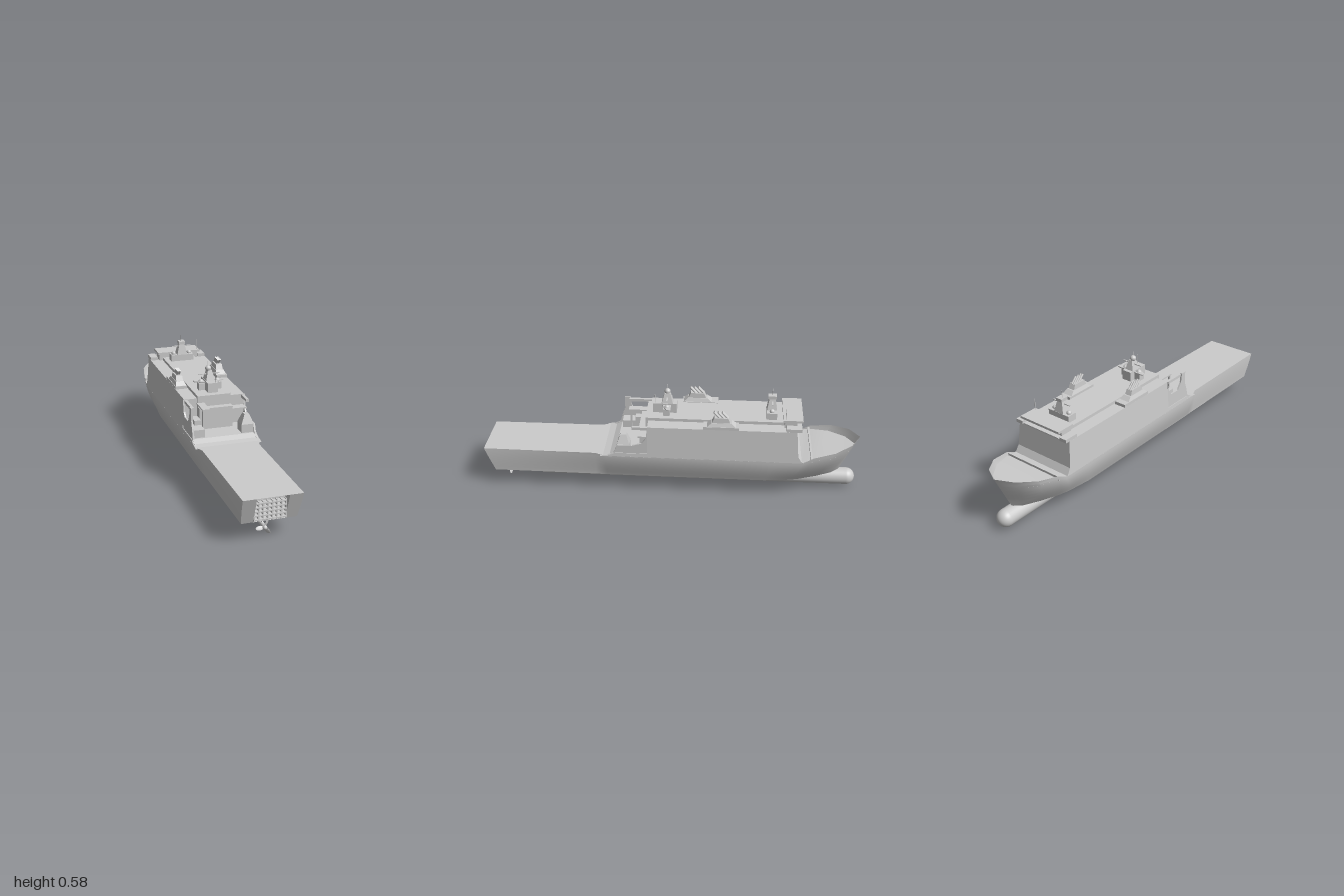
import * as THREE from 'three';
import { toCreasedNormals } from 'three/addons/utils/BufferGeometryUtils.js';

const grey = new THREE.MeshStandardMaterial({ color: 0xcccccc });
const thin = new THREE.MeshStandardMaterial({ color: 0xcccccc, side: THREE.DoubleSide });

function add(parent, name, geo, x = 0, y = 0, z = 0, mat = grey) {
  const m = new THREE.Mesh(geo, mat);
  m.name = name;
  m.position.set(x, y, z);
  parent.add(m);
  return m;
}

// Box given by its limits
function box(parent, name, x0, x1, y0, y1, z0, z1) {
  return add(parent, name, new THREE.BoxGeometry(x1 - x0, y1 - y0, z1 - z0),
    (x0 + x1) / 2, (y0 + y1) / 2, (z0 + z1) / 2);
}

// Box whose top is scaled by sx, sz and shifted by dz
function taper(parent, name, x0, x1, y0, y1, z0, z1, sx, sz, dz = 0) {
  const g = new THREE.BoxGeometry(x1 - x0, y1 - y0, z1 - z0).toNonIndexed();
  const p = g.attributes.position;
  for (let i = 0; i < p.count; i++) {
    if (p.getY(i) > 0) p.setXYZ(i, p.getX(i) * sx, p.getY(i), p.getZ(i) * sz + dz);
  }
  g.computeVertexNormals();
  return add(parent, name, g, (x0 + x1) / 2, (y0 + y1) / 2, (z0 + z1) / 2);
}

// Side profile of [z, y] points, extruded across x
function profile(points, x0, x1) {
  const s = new THREE.Shape(points.map(([z, y]) => new THREE.Vector2(z, y)));
  const g = new THREE.ExtrudeGeometry(s, { depth: x1 - x0, bevelEnabled: false });
  return g.rotateY(-Math.PI / 2).translate(x1, 0, 0);
}

// Surface through rows of equally many points
function skin(rows) {
  const n = rows[0].length, idx = [];
  for (let i = 0; i < rows.length - 1; i++) for (let j = 0; j < n - 1; j++) {
    const a = i * n + j, b = a + n;
    idx.push(a, a + 1, b, b, a + 1, b + 1);
  }
  const g = new THREE.BufferGeometry();
  g.setAttribute('position', new THREE.Float32BufferAttribute(rows.flat(2), 3));
  g.setIndex(idx);
  return toCreasedNormals(g, 0.45);
}

const KEEL = 0.097, DECK = 0.235;
// Stations: z at rim, z at keel, half width at rim, half width at keel, rim height, deck height
const STATIONS = [
  [1, 0.95, 0.145, 0.135, DECK, DECK], [0.4, 0.4, 0.15, 0.138, DECK, DECK],
  [0.34, 0.34, 0.175, 0.14, DECK, DECK], [-0.55, -0.5, 0.175, 0.14, DECK, DECK],
  [-0.7, -0.63, 0.174, 0.125, 0.238, DECK], [-0.75, -0.68, 0.172, 0.113, 0.265, 0.245],
  [-0.86, -0.78, 0.15, 0.075, 0.285, 0.25], [-0.95, -0.86, 0.088, 0.035, 0.299, 0.255],
  [-1, -0.9, 0, 0, 0.305, 0.26],
];
function hullPoint([zt, zb, wt, wb, yt], s, side) {
  const w = wb + (wt - wb) * Math.sin(s * Math.PI / 2);
  return [side * w, KEEL + (yt - KEEL) * s, zb + (zt - zb) * s];
}

function buildHull(root) {
  const hull = new THREE.Group();
  hull.name = 'hull';
  root.add(hull);
  const levels = [0, 0.15, 0.3, 0.45, 0.6, 0.75, 0.88, 1];
  for (const side of [1, -1]) {
    add(hull, 'hullSide', skin(STATIONS.map(st => levels.map(s => hullPoint(st, s, side)))), 0, 0, 0, thin);
    // Transom beside the dock opening
    const edge = levels.map(s => hullPoint(STATIONS[0], s, side));
    add(hull, 'transomSide', skin([edge, edge.map(([, y, z]) => [side * 0.08, y, z])]), 0, 0, 0, thin);
    const jamb = [[0.95, KEEL], [1, DECK], [0.93, DECK], [0.93, KEEL]];
    add(hull, 'dockJamb', profile(jamb, side * 0.08 - 0.002, side * 0.08 + 0.002));
  }
  const across = s => STATIONS.map(st => [hullPoint(st, s(st), -1), hullPoint(st, s(st), 1)]);
  add(hull, 'bottom', skin(across(() => 0)), 0, 0, 0, thin);
  add(hull, 'deck', skin(across(st => (st[5] - KEEL) / (st[4] - KEEL))), 0, 0, 0, thin);
  box(hull, 'breakwater', -0.17, 0.17, 0.235, 0.257, -0.745, -0.735);

  // Stern gate with its grating
  box(hull, 'dockGate', -0.08, 0.08, KEEL, DECK - 0.002, 0.93, 0.94);
  const grating = new THREE.Group();
  grating.name = 'gateGrating';
  hull.add(grating);
  for (let i = 0; i < 8; i++) {
    const x = -0.077 + i * 0.022;
    box(grating, 'gateRib', x - 0.003, x + 0.003, 0.103, 0.2, 0.94, 0.962);
  }
  for (let i = 0; i < 5; i++) {
    const y = 0.112 + i * 0.02;
    box(grating, 'gateBar', -0.079, 0.079, y - 0.003, y + 0.003, 0.94, 0.966);
  }
}

function buildUnderwater(root) {
  const tube = new THREE.CapsuleGeometry(0.046, 1.65, 10, 28).rotateX(Math.PI / 2);
  add(root, 'keelTube', tube, 0, 0.057, -0.12);
  const pod = new THREE.Group();
  pod.name = 'propulsionPod';
  pod.position.set(-0.002, 0.037, 0);
  root.add(pod);
  add(pod, 'podBody', new THREE.CapsuleGeometry(0.011, 0.13, 6, 14).rotateX(Math.PI / 2), 0, 0, 0.84);
  add(pod, 'podStrut', profile([[0.88, 0], [0.8, 0], [0.795, 0.065], [0.84, 0.065]], -0.003, 0.003));
  // Three twisted blades
  for (let i = 0; i < 3; i++) {
    const arm = new THREE.Group();
    arm.rotation.z = i * Math.PI * 2 / 3 - 0.42;
    arm.position.z = 0.9;
    pod.add(arm);
    const blade = add(arm, 'propellerBlade', new THREE.SphereGeometry(1, 14, 8), 0, 0.024, 0);
    blade.scale.set(0.011, 0.02, 0.002);
    blade.rotation.y = 0.6;
  }
}

function buildSuperstructure(root) {
  const s = new THREE.Group();
  s.name = 'superstructure';
  root.add(s);
  // Main block, sides leaning slightly inwards
  const g = profile([[0.37, 0.233], [0.32, 0.24], [0.29, 0.255], [0.12, 0.255], [0.12, 0.41],
    [-0.655, 0.41], [-0.668, 0.27], [-0.69, 0.233]], -1, 1);
  const p = g.attributes.position;
  for (let i = 0; i < p.count; i++) p.setX(i, p.getX(i) * (0.175 - (p.getY(i) - 0.233) * 0.06));
  g.computeVertexNormals();
  add(s, 'mainBlock', g);
  box(s, 'roofHouse', -0.095, 0.09, 0.41, 0.426, -0.6, 0.12);
  box(s, 'aftHouse', -0.095, 0.085, 0.255, 0.368, 0.12, 0.17);
  box(s, 'aftHouseUpper', -0.095, 0.085, 0.368, 0.426, 0.12, 0.135);
  box(s, 'aftPlatform', -0.1, -0.06, 0.382, 0.389, 0.13, 0.24);
  box(s, 'platformPost', -0.098, -0.09, 0.255, 0.384, 0.225, 0.235);

  // Starboard boat bay and its tall outer wall
  const curve = [[0.34, 0.235], [0.3, 0.255], [0.285, 0.31], [0.272, 0.345], [0.272, 0.412],
    [0.242, 0.412], [0.235, 0.36], [0.21, 0.325], [0.15, 0.325], [0.13, 0.345], [0.119, 0.41], [0.119, 0.235]];
  add(s, 'rightBayWall', profile(curve, -0.17, -0.161));
  box(s, 'rightBayLocker', -0.16, -0.1, 0.255, 0.297, 0.13, 0.28);
  box(s, 'rightBayCabin', -0.135, -0.1, 0.297, 0.322, 0.14, 0.21);
  box(s, 'rightBeam', -0.163, -0.147, 0.392, 0.407, 0.12, 0.245);

  // Port boat bay with a vent trunk
  const low = [[0.34, 0.235], [0.3, 0.25], [0.28, 0.3], [0.2, 0.3], [0.15, 0.315], [0.128, 0.345],
    [0.119, 0.41], [0.119, 0.235]];
  add(s, 'leftBayWall', profile(low, 0.161, 0.17));
  box(s, 'ventTrunk', 0.097, 0.163, 0.255, 0.3, 0.215, 0.28);
  taper(s, 'ventHood', 0.097, 0.163, 0.3, 0.35, 0.215, 0.28, 0.4, 0.5);
  box(s, 'leftBayFloor', 0.085, 0.163, 0.345, 0.353, 0.12, 0.17);
  box(s, 'leftBeam', 0.148, 0.163, 0.392, 0.407, 0.12, 0.2);

  // Raised lockers along the roof edges
  box(s, 'rightRoofLocker', -0.164, -0.1, 0.41, 0.426, -0.24, -0.05);
  box(s, 'leftRoofLocker', 0.105, 0.166, 0.41, 0.426, -0.355, -0.17);

  // Bridge with overhanging roof
  box(s, 'bridge', -0.115, 0.115, 0.41, 0.445, -0.655, -0.59);
  box(s, 'bridgeRoof', -0.123, 0.127, 0.446, 0.458, -0.685, -0.582);
  box(s, 'bridgeBrow', -0.115, 0.115, 0.415, 0.421, -0.68, -0.65);
  for (const side of [1, -1]) box(s, 'bridgeWing', side * 0.143 - 0.021, side * 0.143 + 0.021, 0.41, 0.428, -0.68, -0.6);
  add(s, 'bridgeAerial', new THREE.CylinderGeometry(0.0018, 0.0018, 0.09, 8), 0.115, 0.475, -0.595);
}

// Stepped mount with a cluster of launch tubes
function buildMount(root, x, z) {
  const m = new THREE.Group();
  m.name = 'launcherMount';
  m.position.set(x, 0, z);
  root.add(m);
  taper(m, 'mountBase', -0.029, 0.029, 0.426, 0.445, -0.08, 0.07, 0.75, 0.7);
  taper(m, 'mountTop', -0.019, 0.019, 0.445, 0.472, -0.05, 0.045, 0.9, 0.75);
  for (let i = 0; i < 3; i++) for (const side of [1, -1]) {
    const t = add(m, 'launchTube', new THREE.CylinderGeometry(0.0055, 0.0055, 0.045, 12),
      side * 0.0055, 0.484, -0.022 + i * 0.021);
    t.rotation.x = 0.75;
  }
}

function buildMainMast(root) {
  const m = new THREE.Group();
  m.name = 'aftMast';
  m.position.z = 0.025;
  root.add(m);
  box(m, 'mastBase', -0.028, 0.026, 0.426, 0.478, -0.05, 0.075);
  taper(m, 'mastTower', -0.024, 0.024, 0.478, 0.53, -0.03, 0.03, 0.45, 0.5);
  add(m, 'radarDome', new THREE.SphereGeometry(0.016, 20, 14), -0.005, 0.538, 0);
  box(m, 'yard', -0.06, 0.058, 0.506, 0.51, -0.004, 0.004);
  add(m, 'aerial', new THREE.CylinderGeometry(0.0013, 0.0013, 0.03, 6), -0.008, 0.562, 0);
  add(m, 'aftAerial', new THREE.CylinderGeometry(0.0015, 0.0015, 0.05, 6), 0.015, 0.502, 0.065);
  for (const side of [1, -1]) {
    // Swept platform and small dome
    const wing = new THREE.Shape([[0.02, -0.03], [0.08, 0], [0.083, 0.02], [0.02, 0.02]]
      .map(([a, b]) => new THREE.Vector2(side * a, b)));
    const g = new THREE.ExtrudeGeometry(wing, { depth: 0.005, bevelEnabled: false }).rotateX(-Math.PI / 2);
    add(m, 'mastWing', g, 0, 0.466, 0);
    box(m, 'domeStand', side * 0.045 - 0.017, side * 0.045 + 0.017, 0.426, 0.463, -0.015, 0.02);
    add(m, 'sideDome', new THREE.SphereGeometry(0.014, 16, 10), side * 0.045, 0.468, 0);
  }
}

function buildForeMast(root) {
  const m = new THREE.Group();
  m.name = 'foreMast';
  m.position.z = -0.525;
  root.add(m);
  box(m, 'mastBase', -0.065, 0.065, 0.426, 0.462, -0.027, 0.027);
  taper(m, 'mastTower', -0.03, 0.03, 0.462, 0.522, -0.026, 0.026, 0.5, 0.6);
  box(m, 'mastHead', -0.018, 0.018, 0.522, 0.538, -0.022, 0.022);
  box(m, 'yard', -0.055, 0.055, 0.506, 0.51, -0.004, 0.004);
  add(m, 'aerial', new THREE.CylinderGeometry(0.0013, 0.0013, 0.036, 6), -0.004, 0.556, 0);
  for (const side of [1, -1]) add(m, 'sideDome', new THREE.SphereGeometry(0.013, 16, 10), side * 0.046, 0.466, 0);
}

export function createModel() {
  const root = new THREE.Group();
  root.name = 'transportShip';
  buildHull(root);
  buildUnderwater(root);
  buildSuperstructure(root);
  buildMount(root, -0.132, -0.125);
  buildMount(root, 0.135, -0.26);
  buildMainMast(root);
  buildForeMast(root);
  return root;
}
